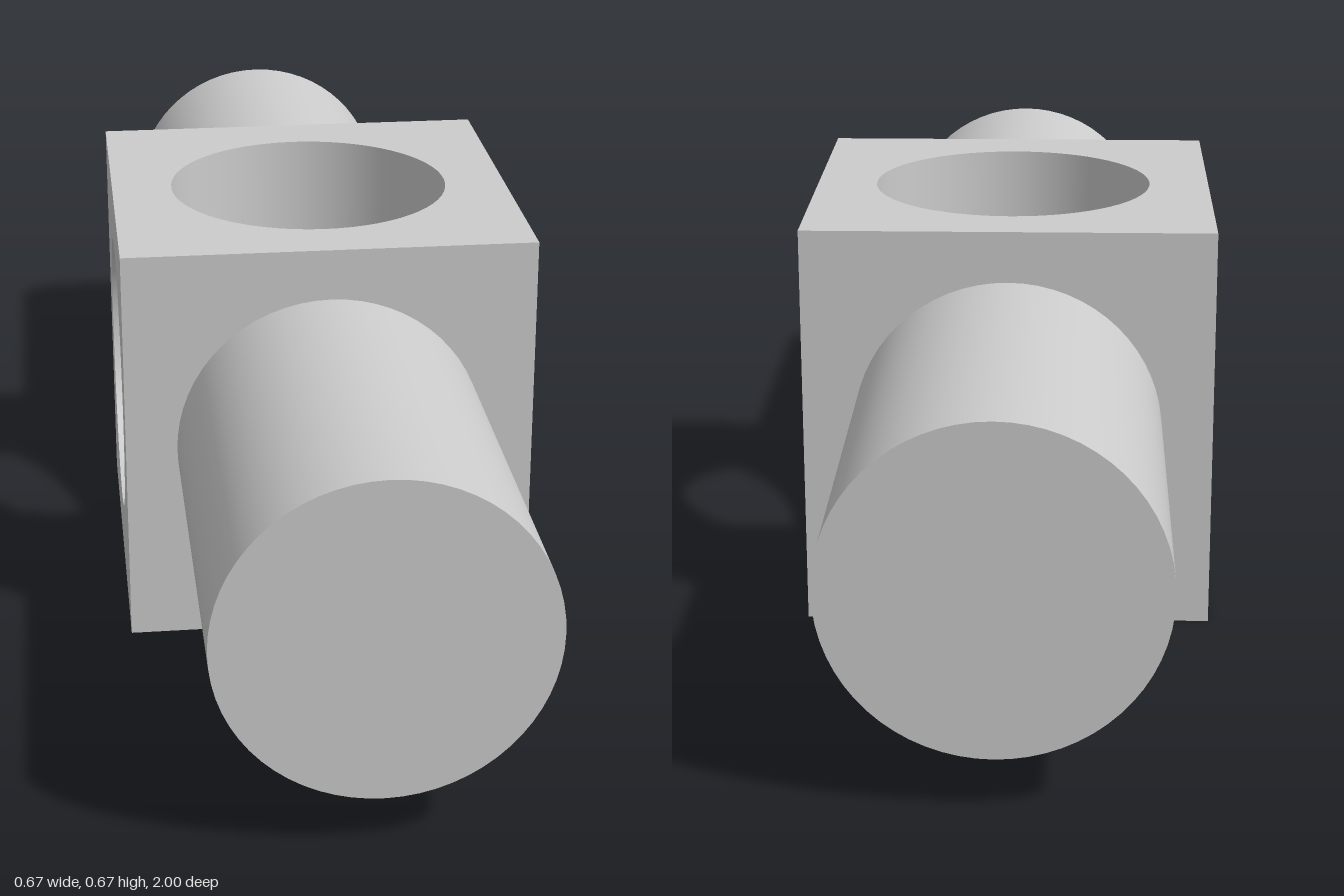
import * as THREE from 'three';

const HALF = 1 / 3;      // half the edge of the cube
const BORE = 0.2333;     // radius of the two crossing bores
const ROD = 0.25;        // radius of the end rods
const SEGMENTS = 64;

const material = new THREE.MeshStandardMaterial({ color: 0xcccccc });
const openMaterial = new THREE.MeshStandardMaterial({ color: 0xcccccc, side: THREE.DoubleSide });

function addMesh(parent, name, geometry, mat = material) {
  const mesh = new THREE.Mesh(geometry, mat);
  mesh.name = name;
  parent.add(mesh);
  return mesh;
}

// Square face with a round opening, lying at the top of the cube
function boredFaceGeometry() {
  const shape = new THREE.Shape();
  shape.moveTo(-HALF, -HALF);
  shape.lineTo(HALF, -HALF);
  shape.lineTo(HALF, HALF);
  shape.lineTo(-HALF, HALF);
  shape.closePath();
  const hole = new THREE.Path();
  hole.absarc(0, 0, BORE, 0, Math.PI * 2, true);
  shape.holes.push(hole);
  return new THREE.ShapeGeometry(shape, SEGMENTS / 2).rotateX(-Math.PI / 2).translate(0, HALF, 0);
}

// Bore wall from the opening down to where it meets the crossing bore (y = |x|)
function boreWallGeometry() {
  const geometry = new THREE.CylinderGeometry(BORE, BORE, 1, SEGMENTS, 1, true);
  const p = geometry.attributes.position;
  for (let i = 0; i < p.count; i++) {
    p.setY(i, p.getY(i) > 0 ? HALF : Math.abs(p.getX(i)));
  }
  return geometry;
}

export function createModel() {
  const model = new THREE.Group();
  model.name = 'boredCubeWithRods';
  const body = new THREE.Group();
  body.name = 'body';
  body.position.y = HALF;
  model.add(body);

  // Four bored sides around the z axis
  const face = boredFaceGeometry();
  const wall = boreWallGeometry();
  ['top', 'right', 'bottom', 'left'].forEach((side, i) => {
    const group = new THREE.Group();
    group.name = side + 'Side';
    group.rotation.z = i * Math.PI / 2;
    addMesh(group, side + 'Face', face);
    addMesh(group, side + 'BoreWall', wall, openMaterial);
    body.add(group);
  });

  // Front and back: closed cube face with a solid rod
  const length = 1 - HALF;
  const plate = new THREE.PlaneGeometry(2 * HALF, 2 * HALF).translate(0, 0, HALF);
  const rod = new THREE.CylinderGeometry(ROD, ROD, length, SEGMENTS)
    .rotateX(Math.PI / 2).translate(0, 0, HALF + length / 2);
  ['front', 'back'].forEach((end, i) => {
    const group = new THREE.Group();
    group.name = end + 'End';
    group.rotation.y = i * Math.PI;
    addMesh(group, end + 'Face', plate);
    addMesh(group, end + 'Rod', rod);
    body.add(group);
  });

  return model;
}
